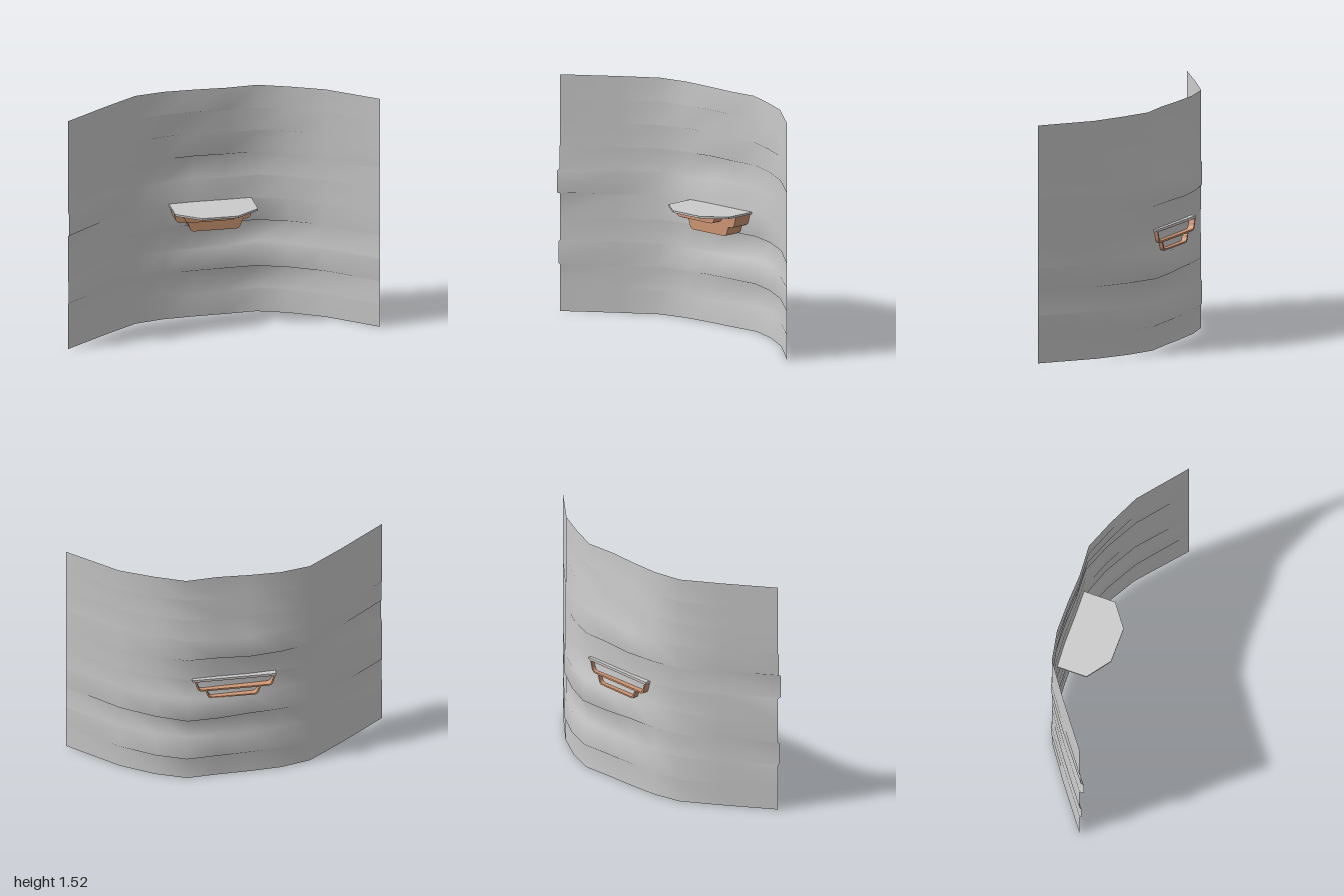
import * as THREE from 'three';

const HEIGHT = 1.52;
const grey = () => new THREE.MeshStandardMaterial({ color: 0xcccccc, side: THREE.DoubleSide });

// Curved cliff wall made of stacked strips that step in and out slightly
function cliffWall() {
  const xs = [-1, -0.71, -0.49, -0.3, -0.1, 0.1, 0.3, 0.49, 0.7, 1];
  const base = [0.222, 0.005, -0.148, -0.188, -0.185, -0.18, -0.185, -0.125, -0.02, 0.222];
  // depth offset of each strip in hundredths, bottom to top
  const strips = [
    [0, 0, 0, -0.5, -2, -3, -3.5, -2.5, -1, 0],
    [0, 0, -0.5, -1, -3, -4.5, -5, -4, -2, 0],
    [1.3, 0.5, 0, 0, -1, -2, -2, -1, 0, 0],
    [0, 0, 0, -1, -3, -6, -6, -4, -2, 0],
    [0, 0, 0.5, 0, -1, -2, -2.5, -2, -1, 0],
    [2.8, 0.6, 0, -0.5, -2, -2.5, -2.5, -1.5, -1, 0],
    [0.8, 0, -0.5, -2, -4.6, -4, -3.5, -2, -1, 0],
    [0, 0, 0, -1, -2, -2, -2.4, -1, 0, 0],
    [0, 0, 0, 0.5, -1.4, -1, -1, 0.5, 0, 0],
    [0, 0, 0, 0.4, 0, 0.3, -0.5, 0.8, 0, 0],
  ];
  const n = xs.length, step = HEIGHT / strips.length, gap = 0.005;
  const pos = [], index = [];
  strips.forEach((strip, r) => {
    const low = r === 0 ? 0 : r * step + gap;
    const high = r === strips.length - 1 ? HEIGHT : (r + 1) * step - gap;
    for (const y of [low, high]) {
      xs.forEach((x, i) => pos.push(x, y, base[i] + strip[i] / 100));
    }
  });
  for (let j = 0; j < strips.length * 2 - 1; j++) {
    for (let i = 0; i < n - 1; i++) {
      const a = j * n + i, b = a + 1, c = a + n, d = c + 1;
      index.push(a, b, d, a, d, c);
    }
  }
  const geo = new THREE.BufferGeometry();
  geo.setAttribute('position', new THREE.Float32BufferAttribute(pos, 3));
  geo.setIndex(index);
  geo.computeVertexNormals();
  const mesh = new THREE.Mesh(geo, grey());
  mesh.name = 'cliffWall';
  return mesh;
}

// Tapered tray outline with rounded lower corners
function trayOutline(target, x0, x1, top, bottom, inset) {
  const taper = 0.018 - inset * 0.3, r = 0.035;
  const l = x0 + inset, R = x1 - inset, b = bottom + inset;
  target.moveTo(l, top);
  target.lineTo(l + taper * 0.6, b + r);
  target.quadraticCurveTo(l + taper, b, l + taper + r * 0.7, b);
  target.lineTo(R - taper - r * 0.7, b);
  target.quadraticCurveTo(R - taper, b, R - taper * 0.6, b + r);
  target.lineTo(R, top);
  target.closePath();
  return target;
}

// Hollow tray support: shell open at the back, closed by a front panel
function traySupport(name, x0, x1, top, bottom, back, front, material) {
  const group = new THREE.Group();
  group.name = name;
  const wall = 0.01;
  const shell = trayOutline(new THREE.Shape(), x0, x1, top, bottom, 0);
  shell.holes.push(trayOutline(new THREE.Path(), x0, x1, top - 0.004, bottom, wall));
  const panel = trayOutline(new THREE.Shape(), x0, x1, top, bottom, 0);
  [['shell', shell, back, front - wall], ['frontPanel', panel, front - wall, front]].forEach(([part, shape, z0, z1]) => {
    const geo = new THREE.ExtrudeGeometry(shape, { depth: z1 - z0, bevelEnabled: false, curveSegments: 6 });
    const mesh = new THREE.Mesh(geo, material);
    mesh.name = part;
    mesh.position.z = z0;
    group.add(mesh);
  });
  return group;
}

// Platform slab with chamfered front corners
function platform() {
  const plan = [[-0.265, -0.23], [0.265, -0.23], [0.265, 0], [0.115, 0.11], [-0.115, 0.11], [-0.265, 0]];
  const shape = new THREE.Shape(plan.map(([x, z]) => new THREE.Vector2(x, -z)));
  const geo = new THREE.ExtrudeGeometry(shape, { depth: 0.013, bevelEnabled: false });
  geo.rotateX(-Math.PI / 2);
  const mesh = new THREE.Mesh(geo, grey());
  mesh.name = 'platform';
  mesh.position.y = 0.752;
  return mesh;
}

export function createModel() {
  const model = new THREE.Group();
  model.name = 'cliffWithLedge';
  const wood = new THREE.MeshStandardMaterial({ color: 0xcf9674, side: THREE.DoubleSide });

  model.add(cliffWall(), platform());

  // Wooden supports under the platform
  model.add(
    traySupport('upperSupport', -0.26, 0.25, 0.752, 0.675, -0.23, -0.08, wood),
    traySupport('frontSupport', -0.215, 0.14, 0.752, 0.698, -0.09, -0.01, wood),
    traySupport('lowerSupport', -0.17, 0.185, 0.676, 0.613, -0.228, -0.08, wood),
  );
  return model;
}
